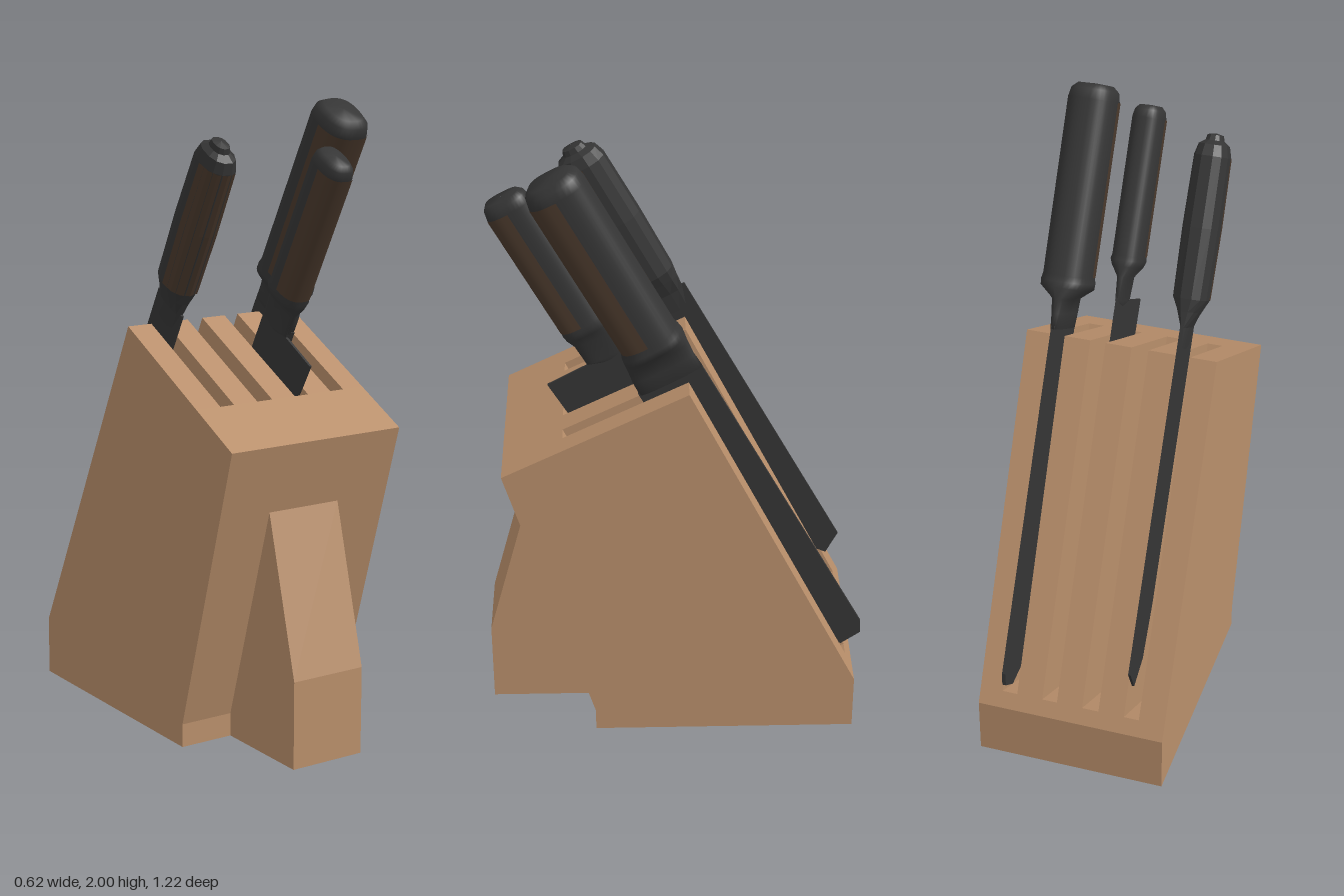
import * as THREE from 'three';

const wood = new THREE.MeshStandardMaterial({ color: 0xb98f6b });
wood.name = 'light wood';
const dark = new THREE.MeshStandardMaterial({ color: 0x353535 });
dark.name = 'dark metal';
const brown = new THREE.MeshStandardMaterial({ color: 0x4a392c });
brown.name = 'dark brown wood';

// Side profile given as [z, y] points, extruded from x0 to x1
function slab(name, points, x0, x1, material) {
  const shape = new THREE.Shape(points.map(([z, y]) => new THREE.Vector2(z, y)));
  const geo = new THREE.ExtrudeGeometry(shape, { depth: x1 - x0, bevelEnabled: false });
  geo.rotateY(-Math.PI / 2).translate(x1, 0, 0);
  const mesh = new THREE.Mesh(geo, material);
  mesh.name = name;
  return mesh;
}

// Skin through rounded-rectangle rings [y, centreZ, halfX, halfZ]; a half skin covers only the front
function loft(name, rings, material, { sides = 32, half = false, power = 0.75, grow = 0, flat = false } = {}) {
  const pos = [], idx = [];
  const cols = half ? sides + 1 : sides;
  const sp = (t) => Math.sign(t) * Math.pow(Math.abs(t), power);
  for (const [y, cz, hx, hz] of rings) {
    for (let i = 0; i < cols; i++) {
      const a = half ? (i / sides) * Math.PI : ((i + 0.5) / sides) * Math.PI * 2;
      pos.push((hx + grow) * sp(Math.cos(a)), y, cz + (hz + grow) * sp(Math.sin(a)));
    }
  }
  for (let r = 0; r < rings.length - 1; r++) {
    for (let i = 0; i < sides; i++) {
      const a = r * cols + i, b = r * cols + ((i + 1) % cols);
      idx.push(a, a + cols, b, b, a + cols, b + cols);
    }
  }
  let geo = new THREE.BufferGeometry();
  geo.setAttribute('position', new THREE.Float32BufferAttribute(pos, 3));
  geo.setIndex(idx);
  if (flat) geo = geo.toNonIndexed();
  geo.computeVertexNormals();
  const mesh = new THREE.Mesh(geo, material);
  mesh.name = name;
  return mesh;
}

// Knife in its own tilted frame: y runs along the blade, z from spine to edge
function knife(name, x, { blade, thickness, rings, scale, options }) {
  const group = new THREE.Group();
  group.name = name;
  group.add(slab('blade', blade, -thickness / 2, thickness / 2, dark));
  group.add(loft('handle', rings, dark, options));
  group.add(loft('handleScale', scale, brown, { ...options, sides: options?.sides ? options.sides / 2 : 16, half: true, grow: 0.002 }));
  group.position.set(x, 1.29, -0.04);
  group.rotation.x = 0.4957;
  return group;
}

export function createModel() {
  const model = new THREE.Group();
  model.name = 'knifeBlock';

  // Block: body with a full-width notch, refilled by ribs that leave four slots
  const block = new THREE.Group();
  block.name = 'block';
  const slotFront = [0.35, 1.095], slotFoot = [-0.17, 0.045], slotBack = [-0.56, 0.24], crest = [-0.04, 1.29];
  block.add(slab('blockBody', [
    [0.265, 0], [0.265, 0.075], [0.54, 1.0], slotFront, slotFoot, slotBack, [-0.585, 0.19], [-0.585, 0],
  ], -0.31, 0.31, wood));
  const edges = [-0.31, -0.225, -0.175, -0.09, -0.035, 0.05, 0.1, 0.185, 0.235, 0.31];
  for (let i = 0; i < edges.length; i += 2) {
    block.add(slab('rib', [slotFront, crest, slotBack, slotFoot], edges[i], edges[i + 1], wood));
  }
  block.add(slab('frontSupport', [
    [0.61, 0], [0.61, 0.28], [0.475, 0.78], [0.265, 0.075], [0.265, 0],
  ], -0.13, 0.125, wood));
  model.add(block);

  // Large knife
  model.add(knife('largeKnife', 0.21, {
    thickness: 0.012,
    blade: [[-0.057, 0.03], [-0.055, -1.09], [-0.035, -1.13], [0.04, -1.14], [0.11, -1.09], [0.16, -0.9], [0.16, 0.03]],
    rings: [
      [0.02, 0.05, 0.001, 0.001], [0.02, 0.05, 0.018, 0.108], [0.07, 0.05, 0.024, 0.106], [0.115, 0.045, 0.03, 0.104],
      [0.15, 0.04, 0.078, 0.103], [0.17, 0.04, 0.08, 0.1], [0.19, 0.038, 0.076, 0.093], [0.74, 0.038, 0.076, 0.093],
      [0.77, 0.038, 0.07, 0.086], [0.787, 0.038, 0.052, 0.066], [0.79, 0.038, 0.001, 0.001],
    ],
    scale: [[0.19, 0.038, 0.076, 0.093], [0.74, 0.038, 0.076, 0.093]],
  }));

  // Medium knife with a deep heel
  model.add(knife('mediumKnife', 0.075, {
    thickness: 0.008,
    blade: [[0.15, 0.2], [0.15, -0.78], [0.17, -0.83], [0.28, -0.74], [0.38, -0.5], [0.426, 0.019], [0.43, 0.123], [0.286, 0.124], [0.286, 0.2]],
    rings: [
      [0.1, 0.218, 0.001, 0.001], [0.125, 0.218, 0.012, 0.068], [0.2, 0.218, 0.018, 0.07],
      [0.235, 0.222, 0.045, 0.075], [0.255, 0.222, 0.053, 0.077], [0.27, 0.224, 0.05, 0.073], [0.71, 0.224, 0.05, 0.073],
      [0.735, 0.224, 0.045, 0.068], [0.75, 0.224, 0.032, 0.055], [0.752, 0.224, 0.001, 0.001],
    ],
    scale: [[0.27, 0.224, 0.05, 0.073], [0.71, 0.224, 0.05, 0.073]],
  }));

  // Faceted knife with a small stud on its butt
  model.add(knife('facetedKnife', -0.195, {
    thickness: 0.008,
    blade: [[-0.052, 0.1], [-0.052, -1.01], [0.02, -1.06], [0.08, -0.98], [0.1, -0.8], [0.1, 0.1]],
    options: { sides: 12, power: 0.85, flat: true },
    rings: [
      [0.02, 0.025, 0.004, 0.06], [0.09, 0.025, 0.012, 0.068], [0.14, 0.025, 0.035, 0.072], [0.18, 0.025, 0.055, 0.077],
      [0.4, 0.025, 0.058, 0.08], [0.62, 0.025, 0.055, 0.077], [0.655, 0.025, 0.046, 0.066],
      [0.668, 0.025, 0.028, 0.04], [0.685, 0.025, 0.024, 0.034], [0.69, 0.025, 0.001, 0.001],
    ],
    scale: [[0.18, 0.025, 0.055, 0.077], [0.4, 0.025, 0.058, 0.08], [0.62, 0.025, 0.055, 0.077]],
  }));

  return model;
}
